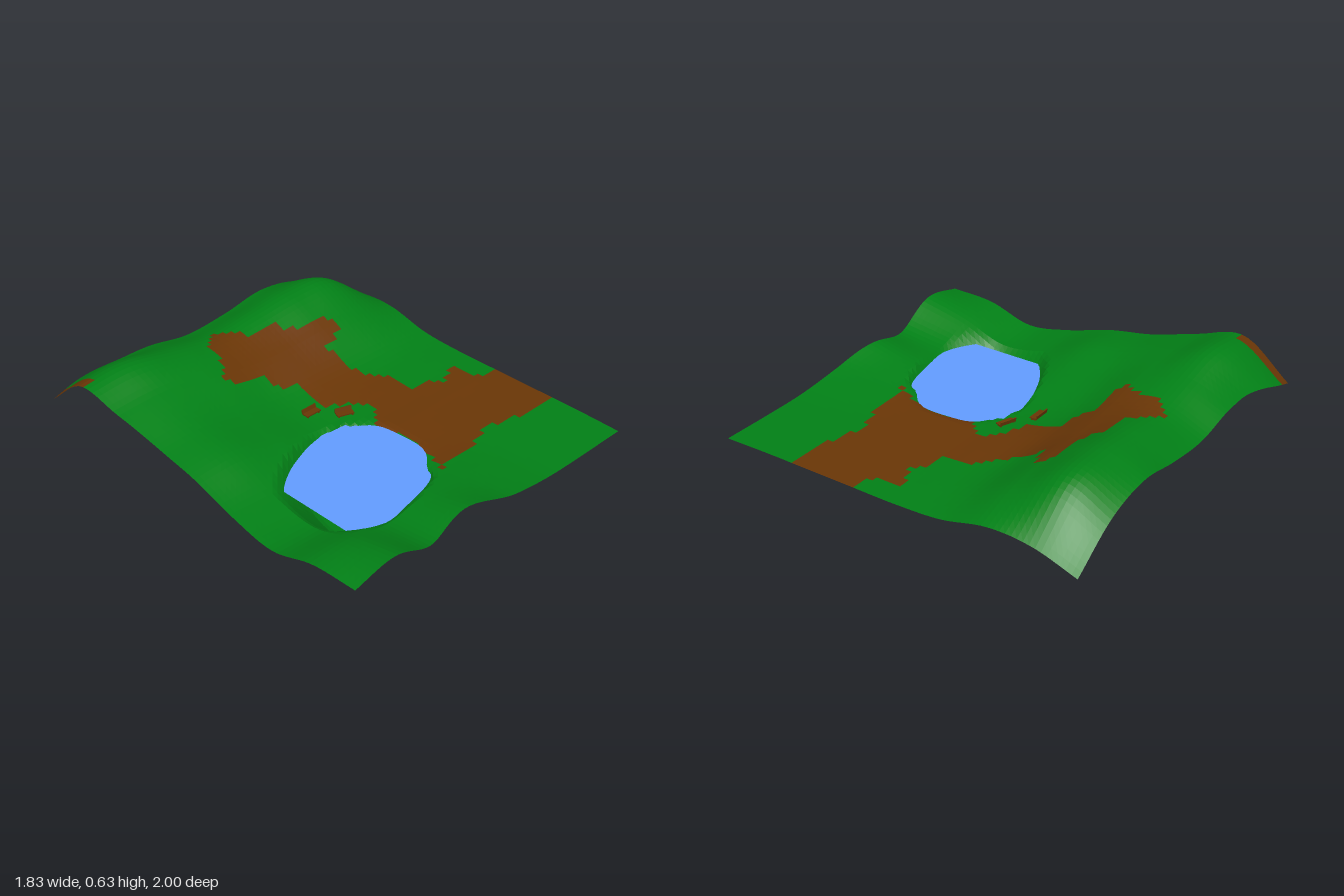
import * as THREE from 'three';

// Ground heights: cross-sections from back (z = -1) to front (z = 1), each from x = -0.9 to 0.91
const SECTIONS = [
  [0.41, 0.49, 0.50, 0.46, 0.48, 0.52, 0.47, 0.315],
  [0.60, 0.63, 0.58, 0.54, 0.565, 0.59, 0.57, 0.385],
  [0.55, 0.56, 0.54, 0.50, 0.49, 0.50, 0.48, 0.395],
  [0.485, 0.49, 0.44, 0.385, 0.375, 0.365, 0.36, 0.34],
  [0.44, 0.445, 0.39, 0.335, 0.33, 0.33, 0.33, 0.325],
  [0.37, 0.35, 0.325, 0.325, 0.325, 0.325, 0.325, 0.325],
  [0.33, 0.315, 0.32, 0.33, 0.325, 0.325, 0.325, 0.325],
  [0.40, 0.40, 0.335, 0.36, 0.345, 0.325, 0.325, 0.325],
  [0.41, 0.455, 0.36, 0.41, 0.355, 0.325, 0.32, 0.32],
];

// Depth of the pond bowl across x, and its share across z
const BOWL_X = [[-0.62, 0], [-0.5, 0.13], [-0.4, 0.24], [-0.3, 0.275], [-0.1, 0.325], [-0.03, 0.31],
  [0, 0.26], [0.03, 0.08], [0.06, 0.045], [0.1, 0.028], [0.17, 0]];
const BOWL_Z = [[0.02, 0], [0.1, 0.46], [0.2, 0.8], [0.3, 0.94], [0.4, 1], [0.5, 0.82], [0.6, 0.34], [0.71, 0]];

// Outline of the dirt track, as x, z
const TRACK = [[-0.1, -0.77], [0, -0.68], [0.02, -0.61], [0.18, -0.61], [0.2, -0.55], [0.49, -0.51], [0.46, -0.43],
  [0.3, -0.39], [0.36, -0.36], [0.36, -0.22], [0.46, -0.1], [0.46, 0.05], [0.6, 0.08], [0.63, 0.13], [0.8, 0.05],
  [0.79, 0.2], [0.95, 0.27], [0.95, 0.62], [0.55, 0.57], [0.49, 0.52], [0.4, 0.57], [0.3, 0.6], [0.06, 0.62],
  [0.12, 0.5], [0.15, 0.35], [0.13, 0.14], [0.22, 0.05], [0.2, -0.02], [0.08, -0.1], [0.02, -0.12], [0.02, -0.31],
  [-0.1, -0.32], [-0.1, -0.4], [-0.32, -0.42], [-0.24, -0.55], [-0.22, -0.66]];

const clamp = THREE.MathUtils.clamp;

function piecewise(points, t) {
  if (t <= points[0][0] || t >= points[points.length - 1][0]) return 0;
  const k = points.findIndex((p) => p[0] > t);
  const [a, b] = [points[k - 1], points[k]];
  return a[1] + (b[1] - a[1]) * (t - a[0]) / (b[0] - a[0]);
}

// Smooth interpolation through evenly spaced values, keeping its slope at both ends
function spline(values, t) {
  const n = values.length - 1;
  const i = clamp(Math.floor(t), 0, n - 1);
  const f = t - i;
  const v = (k) => {
    if (k < 0) return 2 * values[0] - values[1];
    return k > n ? 2 * values[n] - values[n - 1] : values[k];
  };
  const m0 = (v(i + 1) - v(i - 1)) / 2, m1 = (v(i + 2) - v(i)) / 2;
  return v(i) + f * (m0 + f * (3 * (v(i + 1) - v(i)) - 2 * m0 - m1 + f * (2 * (v(i) - v(i + 1)) + m0 + m1)));
}

// Bowl depth: it narrows towards its left and right ends and leans slightly in plan
function bowlDepth(x, z) {
  const narrowing = x < -0.2 ? 0.35 : 0.6;
  const width = Math.max(0.4, 1 - narrowing * ((x + 0.2) / 0.42) ** 2);
  const lean = 0.15 * (x + 0.15);
  return piecewise(BOWL_X, x) * piecewise(BOWL_Z, 0.38 + (z - 0.38 + lean) / width);
}

function height(x, z) {
  const u = clamp((x + 0.9) / 1.81 * 7, 0, 7);
  const w = clamp((z + 1) * 4, 0, 8);
  const base = spline(SECTIONS.map((row) => spline(row, u)), w);
  return Math.max(0, base - bowlDepth(x, z));
}

function onTrack(x, z) {
  if (x < -0.86 && z < -0.72) return true; // bare back corner
  let inside = false;
  TRACK.forEach(([x1, z1], i) => {
    const [x2, z2] = TRACK[(i + 1) % TRACK.length];
    if ((z1 > z) !== (z2 > z) && x < x1 + (x2 - x1) * (z - z1) / (z2 - z1)) inside = !inside;
  });
  return inside;
}

// Ground point; the edges wander a little in plan and the bowl's right wall bulges
function groundPoint(s, t) {
  const x = -0.88 + 1.79 * s, z = -1 + 2 * t;
  const back = Math.max(0, 1 - t * 4), front = Math.max(0, t * 5 - 4);
  const left = Math.max(0, 1 - s * 4);
  const bulge = 0.02 * clamp((x + 0.15) / 0.15, 0, 1) * clamp(bowlDepth(x, z) / 0.2, 0, 1);
  const px = x + bulge - 0.04 * left * THREE.MathUtils.smoothstep(-z, 0.2, 0.75);
  const pz = z + back * 0.05 * THREE.MathUtils.smoothstep(x, -0.8, -0.5)
    - front * 0.05 * Math.exp(-(((x + 0.2) / 0.2) ** 2));
  return [px, height(x, z), pz];
}

function groundMesh(name, color, wantTrack) {
  const nx = 57, nz = 60, positions = [];
  for (let j = 0; j < nz; j++) {
    for (let i = 0; i < nx; i++) {
      const a = groundPoint(i / nx, j / nz), b = groundPoint((i + 1) / nx, j / nz);
      const c = groundPoint(i / nx, (j + 1) / nz), d = groundPoint((i + 1) / nx, (j + 1) / nz);
      if (onTrack((a[0] + d[0]) / 2, (a[2] + d[2]) / 2) !== wantTrack) continue;
      positions.push(...a, ...c, ...b, ...b, ...c, ...d);
    }
  }
  const geometry = new THREE.BufferGeometry();
  geometry.setAttribute('position', new THREE.Float32BufferAttribute(positions, 3));
  geometry.computeVertexNormals();
  const material = new THREE.MeshStandardMaterial({ color, flatShading: true, side: THREE.DoubleSide });
  const mesh = new THREE.Mesh(geometry, material);
  mesh.name = name;
  return mesh;
}

// Small bench: seat, backrest and two end supports
function bench(name, x, z, turn) {
  const group = new THREE.Group();
  group.name = name;
  const material = new THREE.MeshStandardMaterial({ color: 0x6a3606 });
  const add = (part, w, h, d, px, py, pz) => {
    const mesh = new THREE.Mesh(new THREE.BoxGeometry(w, h, d), material);
    mesh.name = part;
    mesh.position.set(px, py, pz);
    group.add(mesh);
    return mesh;
  };
  add('seat', 0.088, 0.006, 0.034, 0, 0.01, 0.005);
  add('backrest', 0.088, 0.022, 0.006, 0, 0.02, -0.017).rotation.x = -0.25;
  for (const side of [-1, 1]) add('support', 0.006, 0.02, 0.03, side * 0.036, -0.001, 0.003);
  group.position.set(x, height(x, z), z);
  group.rotation.y = turn;
  return group;
}

export function createModel() {
  const model = new THREE.Group();
  model.name = 'landscape';
  model.add(groundMesh('grass', 0x028016, false), groundMesh('dirtTrack', 0x6a3606, true));

  // Flat water sheet, showing only where the ground dips below it
  const water = new THREE.Mesh(
    new THREE.PlaneGeometry(1.14, 1.43).rotateX(-Math.PI / 2),
    new THREE.MeshStandardMaterial({ color: 0x629cff, side: THREE.DoubleSide }),
  );
  water.name = 'water';
  water.position.set(0.02, 0.317, 0.015);
  model.add(water);

  model.add(bench('backBench', -0.055, -0.112, 0), bench('frontBench', 0.07, -0.01, -0.35));
  return model;
}
